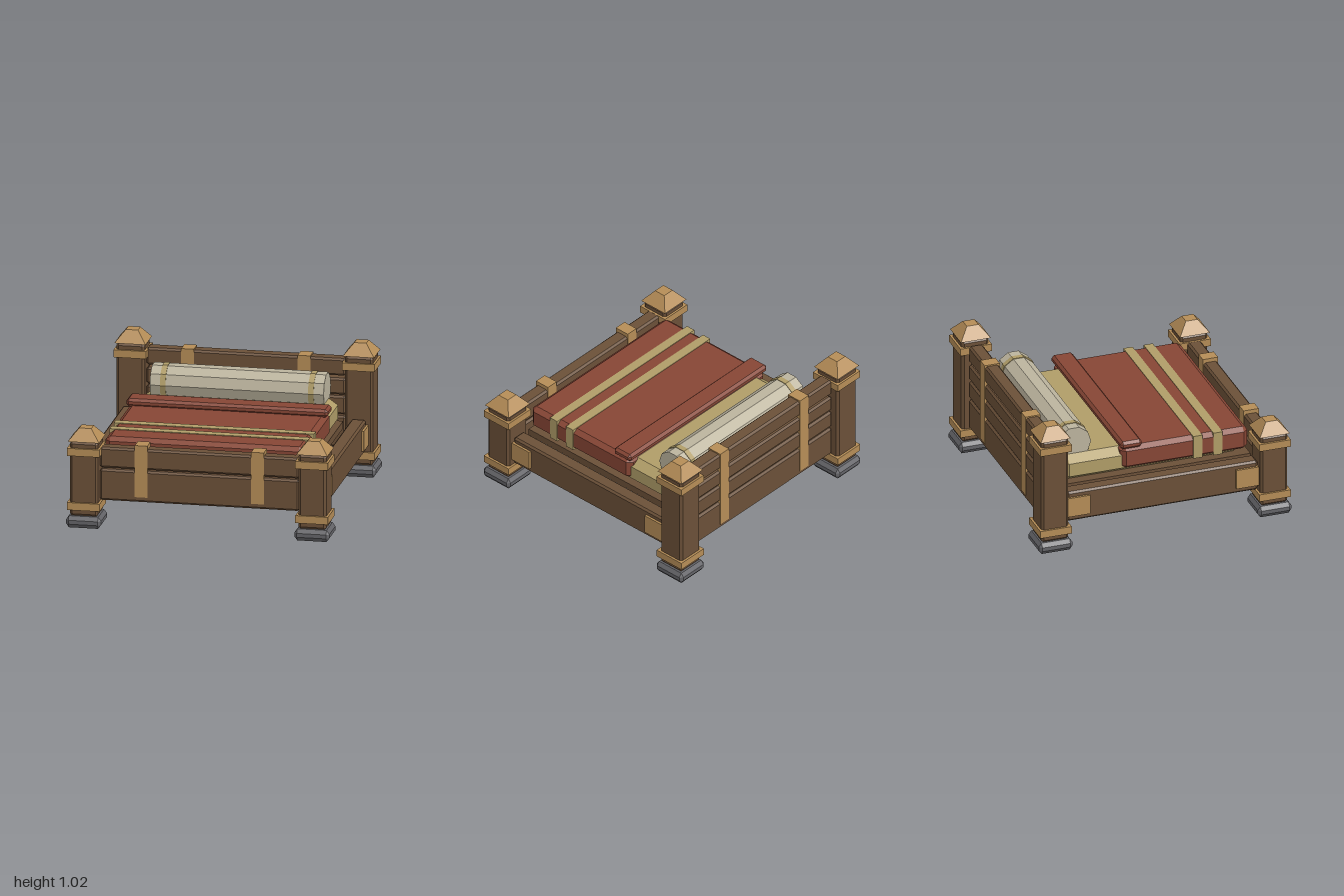
import * as THREE from 'three';
import { ConvexGeometry } from 'three/addons/geometries/ConvexGeometry.js';

const mat = (name, color) => {
  const m = new THREE.MeshStandardMaterial({ color });
  m.name = name;
  return m;
};

// Box between two corners, every edge cut by a chamfer (cx, cy, cz per axis)
function chamferBox(min, max, cx, cy = cx, cz = cx) {
  const c = [cx, cy, cz], pts = [];
  for (let full = 0; full < 3; full++) {
    for (let s = 0; s < 8; s++) {
      const p = [0, 1, 2].map((a) => {
        const cut = a === full ? 0 : c[a];
        return (s >> a) & 1 ? max[a] - cut : min[a] + cut;
      });
      pts.push(new THREE.Vector3(...p));
    }
  }
  return new ConvexGeometry(pts);
}

export function createModel() {
  const model = new THREE.Group();
  model.name = 'bed';
  const wood = mat('brown wood', 0x6b5038);
  const tan = mat('tan trim', 0xb58d57);
  const stone = mat('grey stone', 0x646468);
  const red = mat('red blanket', 0x874635);
  const khaki = mat('khaki cloth', 0xb09d68);
  const linen = mat('pale linen', 0xbcb49e);

  const add = (name, geometry, material, parent = model) => {
    const mesh = new THREE.Mesh(geometry, material);
    mesh.name = name;
    parent.add(mesh);
    return mesh;
  };
  const box = (name, material, min, max, c = 0.015, cy, cz, parent = model) =>
    add(name, chamferBox(min, max, c, cy, cz), material, parent);
  // Square block centred on x = z = 0, between two heights
  const block = (name, material, half, y0, y1, c, cy, parent) =>
    box(name, material, [-half, y0, -half], [half, y1, half], c, cy, c, parent);
  const plain = (name, material, min, max) => {
    const g = new THREE.BoxGeometry(...max.map((v, i) => v - min[i]));
    g.translate(...max.map((v, i) => (v + min[i]) / 2));
    return add(name, g, material);
  };

  // Corner posts: stone foot, shaft, two bands and a pyramid cap
  for (const sx of [-1, 1]) {
    for (const sz of [-1, 1]) {
      const top = sz > 0 ? 0.665 : 0.93;
      const post = new THREE.Group();
      post.name = sz > 0 ? 'frontPost' : 'backPost';
      post.position.set(sx * 0.867, 0, sz * 0.867);
      block('foot', stone, 0.133, 0, 0.09, 0.022, 0.03, post);
      block('shaft', wood, 0.107, 0.085, top, 0.018, 0.02, post);
      for (const y of [0.137, top - 0.108]) {
        const g = new THREE.BoxGeometry(0.248, 0.058, 0.248);
        g.translate(0, y + 0.029, 0);
        add('band', g, tan, post);
      }
      const cap = new THREE.CylinderGeometry(0.046 * Math.SQRT2, 0.119 * Math.SQRT2, 0.09, 4).toNonIndexed();
      cap.rotateY(Math.PI / 4);
      cap.computeVertexNormals();
      cap.translate(0, top + 0.045, 0);
      add('cap', cap, tan, post);
      model.add(post);
    }
  }

  // Head and foot boards
  const footPlanks = [[0.205, 0.447], [0.457, 0.615]];
  const headPlanks = [[0.205, 0.447], [0.457, 0.6], [0.61, 0.738], [0.757, 0.89]];
  for (const [name, z, planks] of [['footPlank', 0.86, footPlanks], ['headPlank', -0.868, headPlanks]]) {
    for (const [y0, y1] of planks) {
      box(name, wood, [-0.757, y0, z - 0.055], [0.757, y1, z + 0.055]);
    }
  }

  // Straps wrapped around the boards
  for (const s of [-1, 1]) {
    const x = s * 0.442;
    plain('footStrap', tan, [x - 0.048, 0.245, 0.8], [x + 0.048, 0.645, 0.92]);
    plain('headStrap', tan, [x - 0.048, 0.245, -0.928], [x + 0.048, 0.9, -0.808]);
  }

  // Side rails with corner plates
  for (const s of [-1, 1]) {
    const x = s * 0.868;
    box('sideRail', wood, [x - 0.057, 0.205, -0.755], [x + 0.057, 0.447, 0.755]);
    for (const t of [-1, 1]) {
      const z = t * 0.667, px = s * 0.905;
      plain('railPlate', tan, [px - 0.038, 0.25, z - 0.088], [px + 0.038, 0.405, z + 0.088]);
    }
  }

  // Bed base and mattress
  plain('bedBase', wood, [-0.75, 0.37, -0.76], [0.75, 0.425, 0.76]);
  box('mattress', khaki, [-0.73, 0.42, -0.735], [0.73, 0.625, 0.72], 0.07, 0.05);

  // Blanket, folded edge and stripes
  box('blanket', red, [-0.755, 0.462, -0.262], [0.755, 0.645, 0.745], 0.038, 0.03);
  box('blanketFold', red, [-0.765, 0.635, -0.27], [0.765, 0.698, -0.1], 0.02);
  for (const z of [0.34, 0.5]) {
    plain('blanketStripe', khaki, [-0.76, 0.465, z - 0.036], [0.76, 0.65, z + 0.036]);
  }

  // Bolster: ten-sided roll with two ties
  const roll = (name, r, length, x, material) => {
    const g = new THREE.CylinderGeometry(r, r, length, 10).toNonIndexed();
    g.computeVertexNormals();
    g.rotateZ(Math.PI / 2);
    const mesh = add(name, g, material);
    mesh.position.set(x, 0.705, -0.605);
  };
  roll('bolster', 0.135, 1.32, 0, linen);
  for (const s of [-1, 1]) roll('bolsterTie', 0.14, 0.042, s * 0.562, khaki);

  return model;
}
